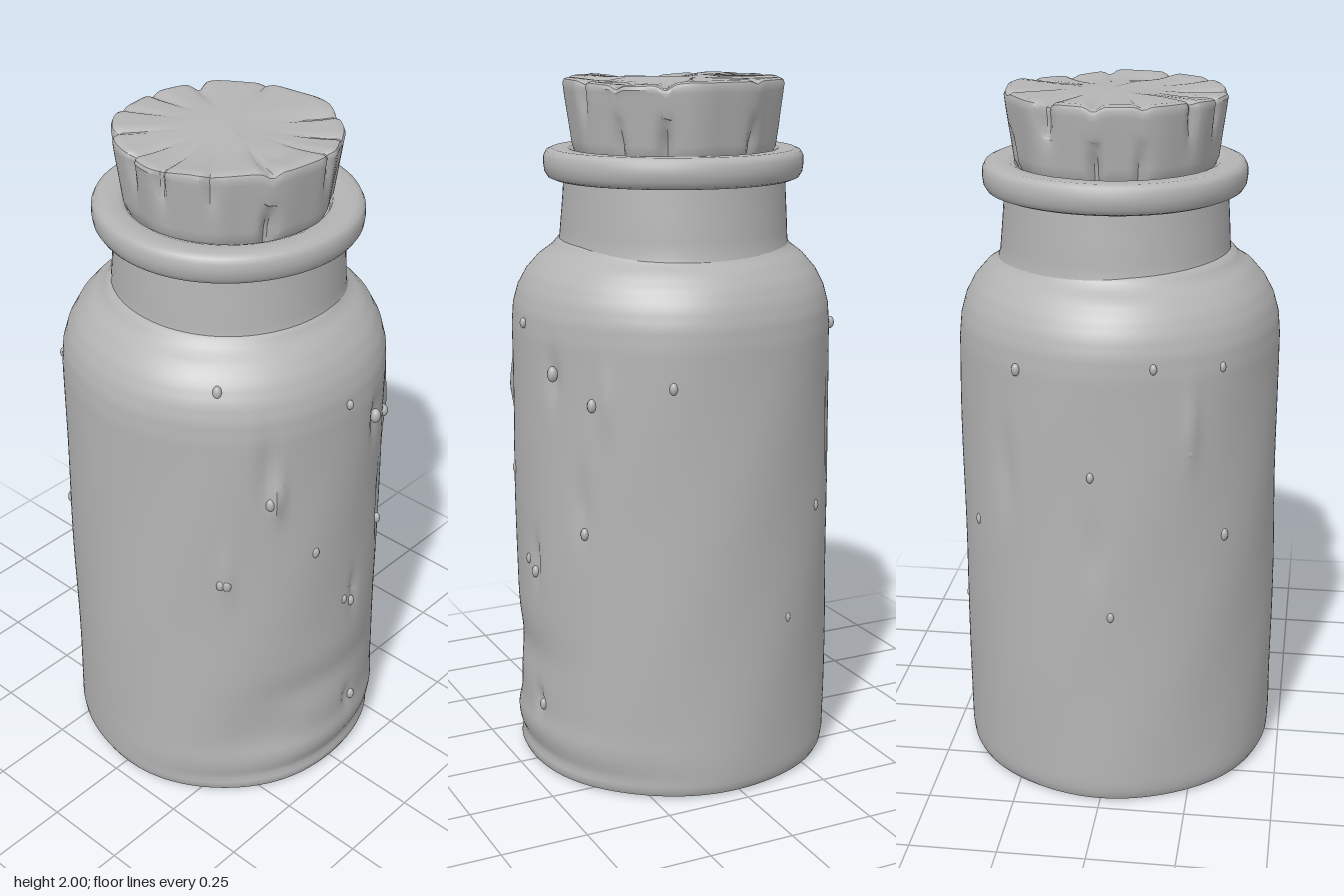
import * as THREE from 'three';
import { mergeVertices, toCreasedNormals } from 'three/addons/utils/BufferGeometryUtils.js';

// Distance between two angles, wrapped to -PI..PI
const angleGap = (a, b) => Math.atan2(Math.sin(a - b), Math.cos(a - b));
const bell = (t) => Math.exp(-t * t);

// Subdivide a profile so that no step is longer than maxStep
function refine(points, maxStep) {
  const out = [new THREE.Vector2(...points[0])];
  for (let i = 1; i < points.length; i++) {
    const a = new THREE.Vector2(...points[i - 1]);
    const b = new THREE.Vector2(...points[i]);
    const n = Math.max(1, Math.ceil(a.distanceTo(b) / maxStep));
    for (let k = 1; k <= n; k++) out.push(a.clone().lerp(b, k / n));
  }
  return out;
}

// Lathe whose vertices are moved by rule(radius, y, angle) -> [radius, y]; angle 0 is front, PI/2 is left
function wornLathe(profile, segments, maxStep, rule, crease) {
  let geo = new THREE.LatheGeometry(refine(profile, maxStep), segments);
  const pos = geo.attributes.position;
  for (let i = 0; i < pos.count; i++) {
    const x = pos.getX(i), z = pos.getZ(i);
    const angle = Math.atan2(x, z);
    const [r, y] = rule(Math.hypot(x, z), pos.getY(i), angle);
    pos.setXYZ(i, r * Math.sin(angle), y, r * Math.cos(angle));
  }
  geo.deleteAttribute('normal');
  geo.deleteAttribute('uv');
  geo = mergeVertices(geo, 1e-5);
  return toCreasedNormals(geo, crease);
}

// Surface flaws on the glass: [angle, y, half width, half height, depth]
const flaws = [
  // broad hollow and ridge low on the left front
  [1.0, 0.22, 0.14, 0.12, -0.014], [1.45, 0.36, 0.2, 0.07, -0.012],
  [1.5, 0.13, 0.4, 0.035, 0.008], [1.5, 0.055, 0.5, 0.02, -0.012],
  // vertical runs
  [1.0, 1.2, 0.025, 0.1, -0.012], [0.76, 0.85, 0.02, 0.09, 0.01],
  [1.05, 1.1, 0.015, 0.06, 0.012], [-1.02, 1.15, 0.02, 0.1, 0.012],
  [1.9, 1.2, 0.025, 0.07, -0.014], [2.12, 0.85, 0.025, 0.1, -0.012],
  [1.7, 0.65, 0.015, 0.07, -0.012], [1.07, 1.12, 0.015, 0.08, 0.01],
  [2.3, 1.15, 0.02, 0.09, 0.01], [-2.2, 1.0, 0.03, 0.12, -0.01],
  [1.7, 0.22, 0.02, 0.04, -0.012], [-1.6, 0.8, 0.03, 0.1, -0.008],
];

function glassRule(r, y, angle) {
  if (r < 0.35 || y < 0.005 || y > 1.5) return [r, y];
  let d = 0.002 * Math.sin(3 * angle + 4 * y) + 0.0015 * Math.sin(7 * angle - 9 * y);
  for (const [a, fy, w, h, depth] of flaws)
    d += depth * bell((angleGap(angle, a) * 0.46) / w) * bell((y - fy) / h);
  return [r + d, y];
}

// Chips in the cork: [angle, angular half width, depth]
const chips = [
  [0.14, 0.05, 0.025], [1.12, 0.06, 0.03], [1.75, 0.05, 0.02], [2.62, 0.06, 0.03],
  [-2.1, 0.07, 0.03], [-1.63, 0.06, 0.028], [-0.7, 0.05, 0.02], [-2.75, 0.05, 0.016],
  [0.6, 0.05, 0.018], [2.15, 0.05, 0.02], [-0.25, 0.05, 0.022], [-1.2, 0.05, 0.018],
];

function corkRule(r, y, angle) {
  const rim = THREE.MathUtils.smoothstep(r, 0.1, 0.3);
  let dr = 0.004 * Math.sin(5 * angle) + 0.003 * Math.sin(11 * angle + 1);
  let dy = 0;
  chips.forEach(([a, w, depth], i) => {
    const c = bell(angleGap(angle, a) / w);
    // chips alternate between the upper and the lower part of the side
    const low = i % 2 ? bell((y - 1.82) / 0.06) : bell((y - 1.97) / 0.07);
    dr -= depth * c * low;
    if (y > 1.9) dy -= depth * 0.5 * c * rim;
  });
  // uneven broken top
  if (y > 1.97) {
    const x = r * Math.sin(angle), z = r * Math.cos(angle);
    dy -= 0.014 * Math.max(0, Math.sin(9 * x + 5 * z + 0.6)) * Math.abs(Math.sin(7 * z - 4 * x));
    dy -= 0.012 * bell((x - 0.2) / 0.05) * bell((z - 0.06) / 0.05);
  }
  return [Math.max(0, r + dr * rim), y + dy];
}

export function createModel() {
  const grey = new THREE.MeshStandardMaterial({ color: 0xb4b4b4 });
  grey.name = 'plain grey';
  const model = new THREE.Group();
  model.name = 'corkedBottle';

  function add(parent, name, geometry) {
    const mesh = new THREE.Mesh(geometry, grey);
    mesh.name = name;
    parent.add(mesh);
    return mesh;
  }

  // Body with flat base and round shoulder
  add(model, 'bottleBody', wornLathe([
    [0, 0], [0.44, 0], [0.455, 0.006], [0.462, 0.02], [0.466, 0.05], [0.465, 0.6],
    [0.463, 1.3], [0.458, 1.36], [0.444, 1.41], [0.42, 1.455], [0.385, 1.495],
    [0.345, 1.525], [0.329, 1.545], [0.3, 1.56],
  ], 180, 0.02, glassRule, 0.7));

  // Neck and lip sit slightly behind the body axis
  const top = new THREE.Group();
  top.name = 'bottleTop';
  top.position.z = -0.013;
  model.add(top);

  add(top, 'neck', wornLathe([
    [0.335, 1.52], [0.329, 1.545], [0.325, 1.6], [0.319, 1.68], [0.316, 1.73],
  ], 96, 0.03, (r, y, a) => [r + 0.003 * Math.sin(3 * a + 8 * y), y], 0.7));

  add(top, 'lip', wornLathe([
    [0.305, 1.718], [0.345, 1.718], [0.36, 1.724], [0.369, 1.738], [0.372, 1.76],
    [0.371, 1.782], [0.364, 1.796], [0.348, 1.803], [0.3, 1.802], [0.283, 1.795],
    [0.275, 1.775], [0, 1.775],
  ], 128, 0.05, (r, y, a) => [r + (r > 0.3 ? 0.002 * Math.sin(4 * a) : 0), y], 0.8));

  // Tapered cork with chipped edge
  add(top, 'cork', wornLathe([
    [0.27, 1.775], [0.286, 1.81], [0.306, 1.95], [0.31, 1.985], [0.306, 1.995],
    [0.295, 2], [0, 2],
  ], 160, 0.02, corkRule, 0.6));

  // Small nodules scattered over the glass: [angle, y, size]
  const nodules = new THREE.Group();
  nodules.name = 'nodules';
  model.add(nodules);
  const spots = [
    [-1.02, 1.08, 0.013], [-0.76, 0.81, 0.013], [0.76, 0.82, 0.014], [1.02, 1.09, 0.014],
    [0.7, 1.44, 0.013], [1.33, 0.88, 0.013], [1.9, 1.21, 0.015], [1.68, 0.61, 0.012],
    [2.2, 1.14, 0.013], [0.72, 0.82, 0.012], [2.14, 0.77, 0.012], [1.75, 0.21, 0.012],
    [-1.5, 0.6, 0.01], [-1.62, 1.02, 0.01], [-2.1, 1.3, 0.012], [-2.5, 0.8, 0.012],
    [-1.25, 1.33, 0.01], [2.7, 1.2, 0.012], [-2.8, 0.5, 0.01], [1.57, 1.33, 0.01],
    [1.6, 0.64, 0.011], [-0.8, 1.31, 0.01],
  ];
  const bead = new THREE.SphereGeometry(1, 12, 8);
  for (const [a, y, s] of spots) {
    const r = y > 1.4 ? 0.425 : 0.462;
    const mesh = add(nodules, 'nodule', bead);
    mesh.position.set(r * Math.sin(a), y, r * Math.cos(a));
    mesh.scale.set(s, s * 1.5, s);
  }
  return model;
}
